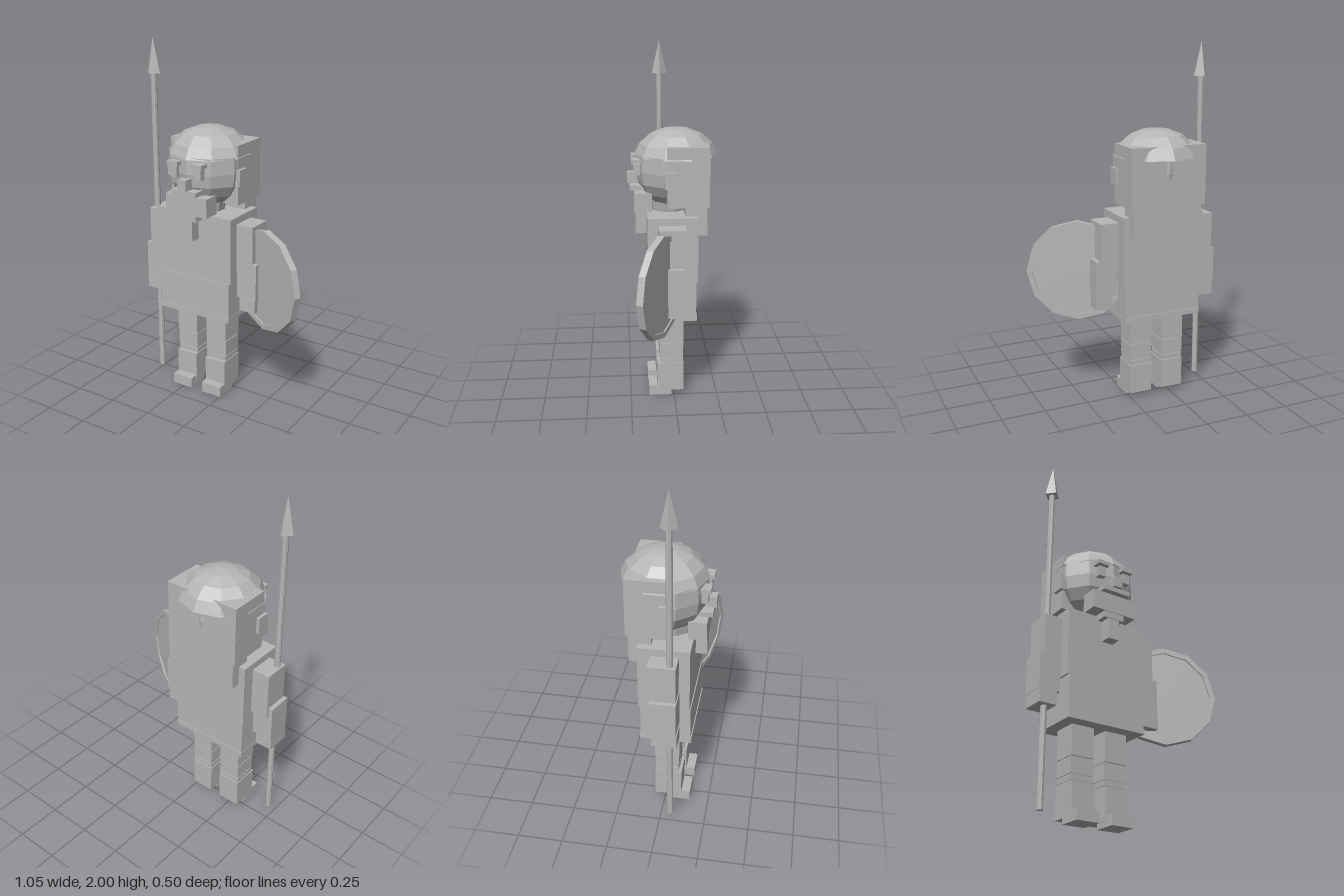
import * as THREE from 'three';

const grey = new THREE.MeshStandardMaterial({ color: 0xb6b6b6, flatShading: true });
grey.name = 'stone grey';

const CENTRE = -0.16; // x of the body's mirror plane

export function createModel() {
  const model = new THREE.Group();
  model.name = 'spearman';

  const add = (name, geometry, x = 0, y = 0, z = 0, parent = model) => {
    const mesh = new THREE.Mesh(geometry, grey);
    mesh.name = name;
    mesh.position.set(x, y, z);
    parent.add(mesh);
    return mesh;
  };
  // Box given by its limits on each axis
  const box = (name, [x0, x1], [y0, y1], [z0, z1]) =>
    add(name, new THREE.BoxGeometry(x1 - x0, y1 - y0, z1 - z0),
      (x0 + x1) / 2, (y0 + y1) / 2, (z0 + z1) / 2);
  // Box centred on the body, given by half its width
  const mid = (name, half, y, z) => box(name, [CENTRE - half, CENTRE + half], y, z);
  // Mirrored pair, given by distances from the body's centre
  const pair = (name, [a, b], y, z) => {
    box(name + 'Left', [CENTRE + a, CENTRE + b], y, z);
    box(name + 'Right', [CENTRE - b, CENTRE - a], y, z);
  };
  const lathe = (points, sides) =>
    new THREE.LatheGeometry(points.map(([r, y]) => new THREE.Vector2(r, y)), sides);

  // Legs with wrappings, boots and feet
  pair('thigh', [0.033, 0.163], [0.33, 0.5], [-0.055, 0.085]);
  pair('shin', [0.037, 0.158], [0.2, 0.33], [-0.048, 0.077]);
  pair('legBand', [0.033, 0.163], [0.24, 0.325], [-0.053, 0.08]);
  pair('ankleBand', [0.033, 0.161], [0.208, 0.23], [-0.053, 0.08]);
  pair('boot', [0.032, 0.163], [0.03, 0.2], [-0.055, 0.095]);
  pair('foot', [0.037, 0.163], [0, 0.06], [0.015, 0.145]);

  // Tunic
  mid('chest', 0.238, [0.72, 1.09], [-0.128, 0.148]);
  mid('skirt', 0.228, [0.515, 0.72], [-0.12, 0.153]);
  mid('hem', 0.23, [0.49, 0.52], [-0.125, 0.158]);

  // Arms
  pair('upperArm', [0.23, 0.34], [0.78, 1.05], [-0.058, 0.09]);
  pair('forearm', [0.245, 0.365], [0.635, 0.84], [-0.045, 0.095]);
  pair('hand', [0.265, 0.363], [0.56, 0.64], [-0.037, 0.1]);

  // Neck, head and helmet
  add('neck', new THREE.CylinderGeometry(0.12, 0.1, 0.12, 10), CENTRE, 1.12, 0.02);
  const head = add('head', lathe([
    [0, 1.13], [0.13, 1.145], [0.18, 1.19], [0.215, 1.25], [0.226, 1.32], [0.222, 1.41], [0, 1.45],
  ], 10), CENTRE, 0, 0.007);
  head.scale.z = 0.9;
  add('helmet', lathe([
    [0, 1.4], [0.232, 1.4], [0.203, 1.46], [0.145, 1.512], [0.075, 1.539], [0, 1.548],
  ], 10), CENTRE, 0, -0.02);
  mid('hood', 0.218, [1.14, 1.47], [-0.19, 0.04]);
  mid('neckGuard', 0.2, [0.98, 1.14], [-0.18, -0.06]);
  pair('ear', [0.19, 0.236], [1.25, 1.34], [-0.017, 0.053]);

  // Face
  pair('eye', [0.056, 0.097], [1.3, 1.358], [0.15, 0.217]);
  pair('brow', [0.042, 0.11], [1.365, 1.387], [0.15, 0.23]);
  mid('nose', 0.026, [1.24, 1.3], [0.15, 0.253]);
  mid('moustache', 0.08, [1.212, 1.238], [0.14, 0.24]);
  mid('beardUpper', 0.131, [1.1, 1.205], [0.12, 0.217]);
  mid('beardMiddle', 0.06, [1.065, 1.1], [0.12, 0.213]);
  mid('beardTip', 0.033, [0.95, 1.07], [0.13, 0.21]);

  // Spear
  add('spearShaft', new THREE.CylinderGeometry(0.017, 0.017, 1.78, 8), -0.472, 0.93, 0.055);
  add('spearHead', new THREE.ConeGeometry(0.043, 0.19, 4), -0.472, 1.905, 0.055);

  // Round shield: thin disc inside a raised rim, both standing upright
  const shield = new THREE.Group();
  shield.name = 'shield';
  shield.position.set(0.262, 0.767, 0.085);
  shield.rotation.y = -0.445;
  model.add(shield);
  const R = 0.283, r = 0.253, t = 0.019;
  // Quarter turn in lathe order puts a corner at the widest point
  const rim = add('shieldRim', lathe([[r, -t], [R, -t], [R, t], [r, t], [r, -t]], 12), 0, 0, 0, shield);
  const disc = add('shieldDisc', new THREE.CylinderGeometry(0.256, 0.256, 0.022, 12), 0, 0, 0, shield);
  rim.rotation.x = disc.rotation.x = Math.PI / 2;

  return model;
}
